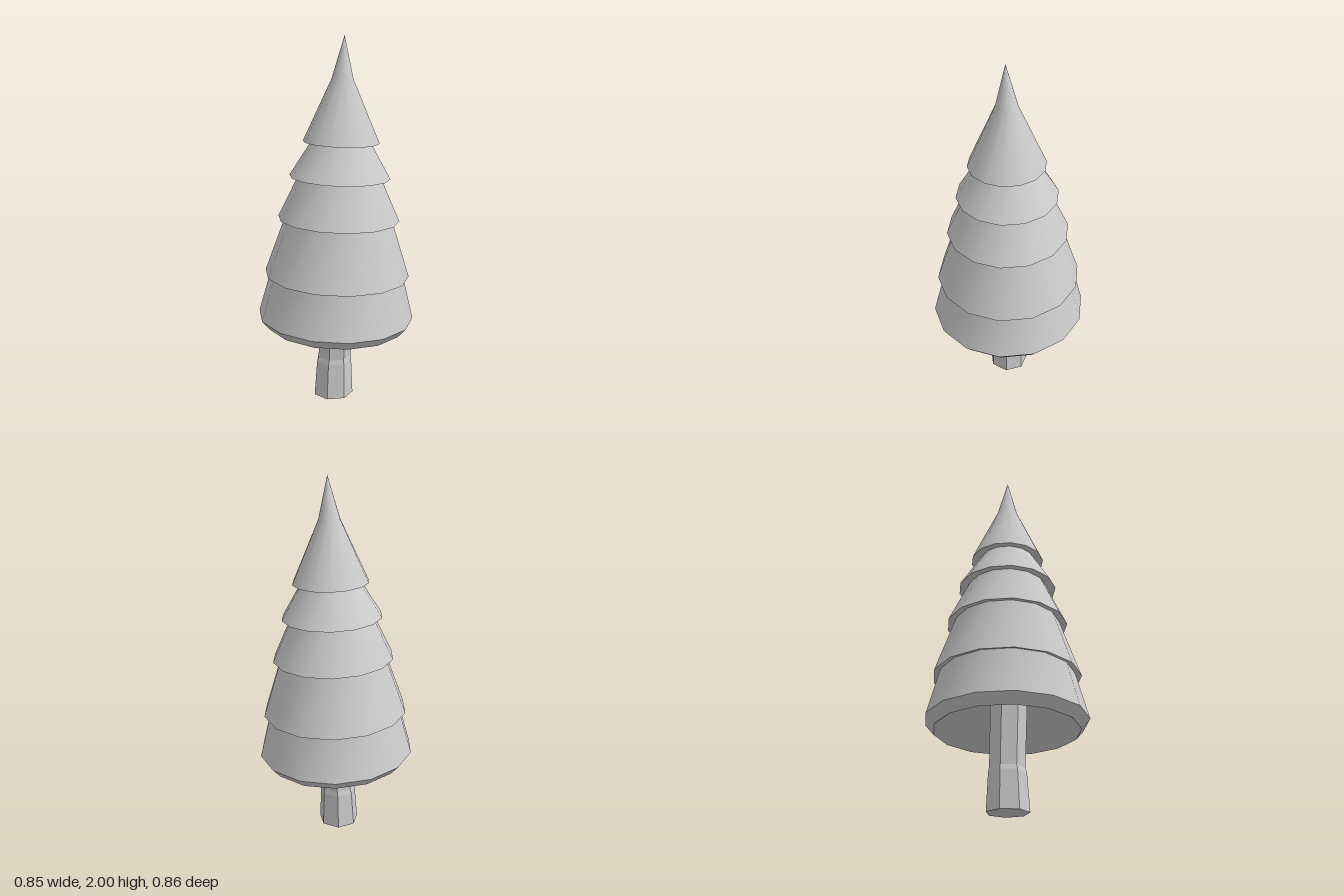
import * as THREE from 'three';
import { toCreasedNormals } from 'three/addons/utils/BufferGeometryUtils.js';

// Skin a stack of polygon rings [y, radius, centreX, centreZ], listed along the
// surface from bottom to top; tilt is the slope of each ring along x and z.
function loft(rings, sides, phase, tiltX = 0, tiltZ = 0) {
  const point = ([y, r, cx, cz], j) => {
    const a = phase + (j % sides) * 2 * Math.PI / sides;
    const dx = r * Math.cos(a), dz = r * Math.sin(a);
    return [cx + dx, y + dx * tiltX + dz * tiltZ, cz + dz];
  };
  const pos = [];
  for (let i = 0; i < rings.length - 1; i++) {
    for (let j = 0; j < sides; j++) {
      const a = point(rings[i], j), b = point(rings[i], j + 1);
      const c = point(rings[i + 1], j), d = point(rings[i + 1], j + 1);
      if (rings[i][1] > 0) pos.push(...a, ...c, ...b);
      if (rings[i + 1][1] > 0) pos.push(...b, ...c, ...d);
    }
  }
  const geo = new THREE.BufferGeometry();
  geo.setAttribute('position', new THREE.Float32BufferAttribute(pos, 3));
  geo.computeVertexNormals();
  return geo;
}

export function createModel() {
  const tree = new THREE.Group();
  tree.name = 'pineTree';
  const add = (name, geo, flatShading) => {
    const mat = new THREE.MeshStandardMaterial({ color: 0xcccccc, flatShading });
    const mesh = new THREE.Mesh(geo, mat);
    mesh.name = name;
    tree.add(mesh);
  };

  // Trunk: seven-sided, flared below a small step, closed at the base
  add('trunk', loft([
    [0.005, 0, -0.012, -0.012],
    [0.005, 0.112, -0.012, -0.012],
    [0.205, 0.1, -0.008, -0.01],
    [0.23, 0.094, -0.006, -0.008],
    [0.64, 0.1, -0.006, 0.012],
  ], 7, 0.12), true);

  // Foliage tiers: rim height, rim radius, centre x and z, radius at the tier's top
  const tiers = [
    [0.476, 0.43, -0.002, 0, 0.363],
    [0.716, 0.397, 0.001, 0.006, 0.288],
    [1.027, 0.33, 0.005, 0.015, 0.218],
    [1.257, 0.272, 0.007, 0.021, 0.152],
    [1.445, 0.205, 0.01, 0.028, 0.058],
  ];
  const sides = 14, phase = 0.117, tiltX = -0.014, tiltZ = -0.034;
  const rings = [];
  tiers.forEach(([y, r, cx, cz, topR], i) => {
    const next = tiers[i + 1];
    rings.push([y, r, cx, cz]);
    rings.push(next ? [next[0] + 0.012, topR, next[2], next[3]] : [1.775, topR, 0.013, 0.034]);
  });
  rings.push([2, 0, 0.015, 0.045]); // leaning tip
  add('foliage', toCreasedNormals(loft(rings, sides, phase, tiltX, tiltZ), 0.6), false);

  // Faceted skirt edge and hollow underside rising to the trunk
  add('foliageUnderside', loft([
    [0.62, 0, 0, 0],
    [0.424, 0.385, -0.002, 0],
    [0.476, 0.43, -0.002, 0],
  ], sides, phase, tiltX, tiltZ), true);

  return tree;
}
